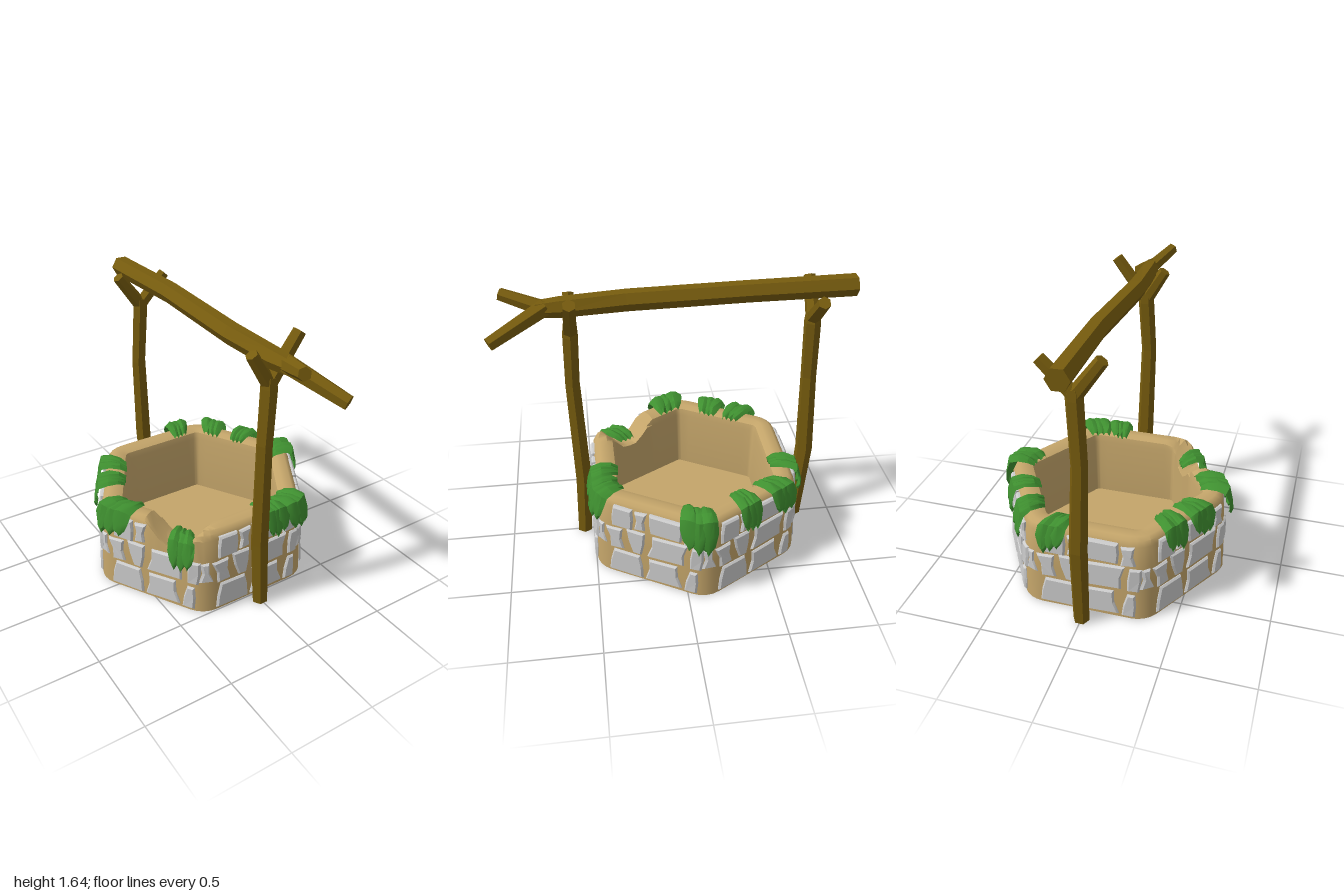
import * as THREE from 'three';
import { toCreasedNormals } from 'three/addons/utils/BufferGeometryUtils.js';

const V = (x, y, z) => new THREE.Vector3(x, y, z);
const mat = (color, extra = {}) => new THREE.MeshStandardMaterial({ color, ...extra });
const clay = mat(0xc4a56a, { side: THREE.DoubleSide });
const stoneMat = mat(0xcccccc);
const wood = mat(0x775c0e, { flatShading: true });
const leafMat = mat(0x3f9030, { side: THREE.DoubleSide });
const CZ = -0.1; // the well sits a little behind the middle

let seed = 7;
const rnd = () => (seed = (seed * 16807) % 2147483647) / 2147483647;

function mesh(name, geo, material) {
  const m = new THREE.Mesh(geo, material);
  m.name = name;
  return m;
}

// Skin a stack of equal-length rings, with optional end caps
function loft(rings, capStart, capEnd) {
  const n = rings[0].length, pos = [], idx = [];
  rings.forEach(r => r.forEach(p => pos.push(p.x, p.y, p.z)));
  for (let i = 0; i < rings.length - 1; i++)
    for (let j = 0; j < n; j++) {
      const k = (j + 1) % n, a = i * n + j, b = i * n + k;
      idx.push(a, a + n, b + n, a, b + n, b);
    }
  const cap = (i, flip) => {
    const c = rings[i].reduce((s, p) => s.add(p), V(0, 0, 0)).divideScalar(n);
    const ci = pos.length / 3;
    pos.push(c.x, c.y, c.z);
    for (let j = 0; j < n; j++) {
      const a = i * n + j, b = i * n + (j + 1) % n;
      flip ? idx.push(ci, b, a) : idx.push(ci, a, b);
    }
  };
  if (capStart) cap(0, false);
  if (capEnd) cap(rings.length - 1, true);
  const g = new THREE.BufferGeometry();
  g.setAttribute('position', new THREE.Float32BufferAttribute(pos, 3));
  g.setIndex(idx);
  g.computeVertexNormals();
  return g;
}

// Six-sided tapering limb through a few points
function limb(name, pts, radii) {
  const rings = pts.map((p, i) => {
    const t = pts[Math.min(i + 1, pts.length - 1)].clone().sub(pts[Math.max(i - 1, 0)]).normalize();
    const q = new THREE.Quaternion().setFromUnitVectors(V(0, 1, 0), t);
    return Array.from({ length: 6 }, (_, j) => {
      const a = (j / 6) * Math.PI * 2;
      return V(Math.cos(a) * radii[i], 0, Math.sin(a) * radii[i]).applyQuaternion(q).add(p);
    });
  });
  return mesh(name, loft(rings, true, true), wood);
}

// Broken gap in the rim: greatest height allowed at x, z
function rimLimit(x, z) {
  if (-0.866 * x + 0.5 * (z - CZ) < 0.36) return 9;
  const s = Math.abs(0.5 * (x + 0.42) + 0.866 * (z - 0.29));
  return 0.38 + Math.max(0, s - 0.05) * 1.1;
}

// Hexagon ring with rounded corners and divided sides
function hexRing(apothem, r, y) {
  const corners = [], out = [];
  for (let k = 0; k < 6; k++) {
    const c = (k * Math.PI) / 3, d = (apothem - r) / Math.cos(Math.PI / 6);
    for (let i = 0; i <= 4; i++) {
      const a = c + (i / 4 - 0.5) * (Math.PI / 3);
      corners.push(V(Math.cos(c) * d + Math.cos(a) * r, y, Math.sin(c) * d + Math.sin(a) * r + CZ));
    }
  }
  corners.forEach((p, i) => {
    const next = corners[(i + 1) % corners.length], steps = i % 5 === 4 ? 10 : 1;
    for (let s = 0; s < steps; s++) out.push(p.clone().lerp(next, s / steps));
  });
  out.forEach(p => { p.y = Math.min(p.y, rimLimit(p.x, p.z)); });
  return out;
}

function createWall() {
  const profile = [ // apothem, corner radius, height
    [0.595, 0.15, 0], [0.588, 0.15, 0.25], [0.575, 0.15, 0.47], [0.562, 0.15, 0.5], [0.54, 0.14, 0.515],
    [0.49, 0.07, 0.515], [0.455, 0.04, 0.5], [0.445, 0.04, 0.46], [0.435, 0.03, 0.1]];
  const g = loft(profile.map(p => hexRing(...p)), false, true);
  return mesh('wall', toCreasedNormals(g, 0.6), clay);
}

// One side's stones: bottom-left, bottom-right, top-right, top-left u; then low and high y
const STONES = [
  [-0.26, -0.05, -0.07, -0.23, 0.02, 0.17], [-0.03, 0.19, 0.16, -0.01, 0.02, 0.17], [0.21, 0.28, 0.28, 0.24, 0.02, 0.16],
  [-0.25, -0.17, -0.18, -0.28, 0.19, 0.33], [-0.11, -0.06, -0.04, -0.15, 0.19, 0.34], [-0.02, 0.2, 0.22, 0.01, 0.19, 0.34],
  [0.24, 0.3, 0.31, 0.25, 0.19, 0.33], [-0.35, -0.28, -0.3, -0.34, 0.2, 0.33],
  [-0.24, -0.12, -0.12, -0.23, 0.35, 0.48], [-0.1, -0.04, -0.03, -0.1, 0.36, 0.48], [0, 0.18, 0.18, -0.01, 0.36, 0.48],
  [0.2, 0.28, 0.27, 0.2, 0.35, 0.47]];

function createStone([a, b, c, d, y0, y1], i) {
  const w = i % 2 ? 0.012 : -0.006, m = (y0 + y1) / 2; // waist gives an uneven outline
  const s = new THREE.Shape([[a, y0], [b, y0 + w / 2], [(b + c) / 2 - w, m], [c, y1], [d, y1 - w / 2], [(a + d) / 2 + w, m]]
    .map(p => new THREE.Vector2(...p)));
  const g = new THREE.ExtrudeGeometry(s, {
    depth: 0.03, bevelEnabled: true, bevelThickness: 0.01, bevelSize: 0.009, bevelOffset: -0.007, bevelSegments: 1 });
  const p = g.attributes.position;
  for (let k = 0; k < p.count; k++) { // follow the wall's lean and wrap onto its corners
    const over = Math.max(0, Math.abs(p.getX(k)) - 0.25);
    p.setZ(k, p.getZ(k) + 0.57 - p.getY(k) * 0.035 - over * over * 4);
  }
  g.computeVertexNormals();
  return mesh('stone', g, stoneMat);
}

function createStones() {
  const all = new THREE.Group();
  all.name = 'stones';
  for (let k = 0; k < 6; k++) {
    const side = new THREE.Group();
    side.name = 'stoneSide';
    side.position.z = CZ;
    side.rotation.y = (k * Math.PI) / 3;
    // the broken side lacks its upper stones
    STONES.forEach((s, i) => { if (!(k === 5 && i > 9)) side.add(createStone(s, i)); });
    all.add(side);
  }
  return all;
}

// Distance from the well's axis to its outer wall at an angle
function wallRadius(t) {
  const step = Math.PI / 3, f = t - Math.PI / 6;
  return Math.min(0.58 / Math.cos(f - Math.round(f / step) * step), 0.645);
}

// A pointed leaf draped over the rim
function createLeaf(angle, halfWidth, drop, lift) {
  const path = [[-0.14, 0.5, 0.4], [-0.1, 0.525, 0.85], [-0.04, 0.535, 1], [0.012, 0.52, 1],
    [0.035, 0.5 - drop * 0.35, 0.95], [0.042, 0.5 - drop * 0.75, 0.65], [0.03, 0.5 - drop, 0.15]];
  const pos = [], idx = [], cols = 5;
  path.forEach(([off, y, w], i) => {
    for (let j = 0; j < cols; j++) {
      const u = (j / (cols - 1)) * 2 - 1, t = angle + u * w * halfWidth;
      const bulge = (1 - u * u) * 0.02 + (rnd() - 0.5) * 0.008;
      const r = wallRadius(t) + off + (i > 2 ? bulge * 0.6 : 0);
      pos.push(Math.cos(t) * r, y + lift + (i < 4 ? bulge : Math.abs(u) * 0.02), Math.sin(t) * r + CZ);
      if (i && j) {
        const b = i * cols + j, a = b - cols;
        idx.push(a - 1, a, b, a - 1, b, b - 1);
      }
    }
  });
  const g = new THREE.BufferGeometry();
  g.setAttribute('position', new THREE.Float32BufferAttribute(pos, 3));
  g.setIndex(idx);
  g.computeVertexNormals();
  return mesh('leaf', toCreasedNormals(g, 0.5), leafMat);
}

function createLeaves() {
  const all = new THREE.Group();
  all.name = 'leaves';
  // x, z of each clump, angular half spread, hang, lift
  [[0.16, -0.63, 0.1, 0.1, 0], [0.36, -0.51, 0.11, 0.1, 0], [0.47, -0.33, 0.1, 0.12, 0], [0.55, -0.06, 0.13, 0.14, 0],
    [0.12, 0.42, 0.1, 0.1, 0], [0.26, 0.4, 0.12, 0.11, 0], [-0.38, 0.33, 0.1, 0.13, -0.08], [-0.57, -0.02, 0.15, 0.1, 0],
    [-0.52, -0.31, 0.12, 0.09, 0], [-0.42, -0.47, 0.11, 0.09, 0]].forEach(([x, z, spread, drop, lift]) => {
    const a = Math.atan2(z - CZ, x);
    for (let i = -1; i <= 1; i++)
      all.add(createLeaf(a + i * spread * 0.6, spread * 0.65, drop + rnd() * 0.05, lift + 0.004 * i * i));
  });
  return all;
}

// Forked post: bent trunk and two branches cradling the beam
function createPost(name, trunk, left, right) {
  const g = new THREE.Group();
  g.name = name;
  const top = trunk[trunk.length - 1], root = top.clone().add(V(0, -0.04, 0));
  g.add(limb('trunk', trunk, [0.046, 0.052, 0.046, 0.048, 0.042]));
  g.add(limb('branch', [root, left], [0.042, 0.034]), limb('branch', [root, right], [0.042, 0.036]));
  return g;
}

export function createModel() {
  const model = new THREE.Group();
  model.name = 'well';
  model.add(createWall(), createStones(), createLeaves());
  model.add(createPost('frontPost',
    [V(-0.003, 0, 0.56), V(-0.01, 0.4, 0.545), V(-0.02, 1.05, 0.568), V(0, 1.36, 0.56), V(0, 1.42, 0.558)],
    V(-0.11, 1.56, 0.555), V(0.18, 1.62, 0.552)));
  model.add(createPost('backPost',
    [V(0, 0, -0.77), V(-0.005, 0.5, -0.803), V(-0.02, 1.0, -0.79), V(0, 1.36, -0.775), V(0, 1.42, -0.775)],
    V(-0.14, 1.575, -0.775), V(0.17, 1.55, -0.775)));
  // Crossbeam with a forked front end
  const beam = new THREE.Group();
  beam.name = 'beam';
  const fork = V(0.01, 1.53, 0.73);
  beam.add(limb('beamTrunk', [V(-0.005, 1.563, -1), V(0.005, 1.563, -0.4), V(-0.015, 1.542, 0.25), V(0, 1.53, 0.6), fork],
    [0.062, 0.06, 0.06, 0.057, 0.045]));
  beam.add(limb('beamBranch', [V(0.01, 1.53, 0.68), V(-0.072, 1.59, 0.91)], [0.045, 0.035]));
  beam.add(limb('beamBranch', [V(0.005, 1.535, 0.68), V(0.15, 1.412, 0.975)], [0.052, 0.04]));
  model.add(beam);
  return model;
}
